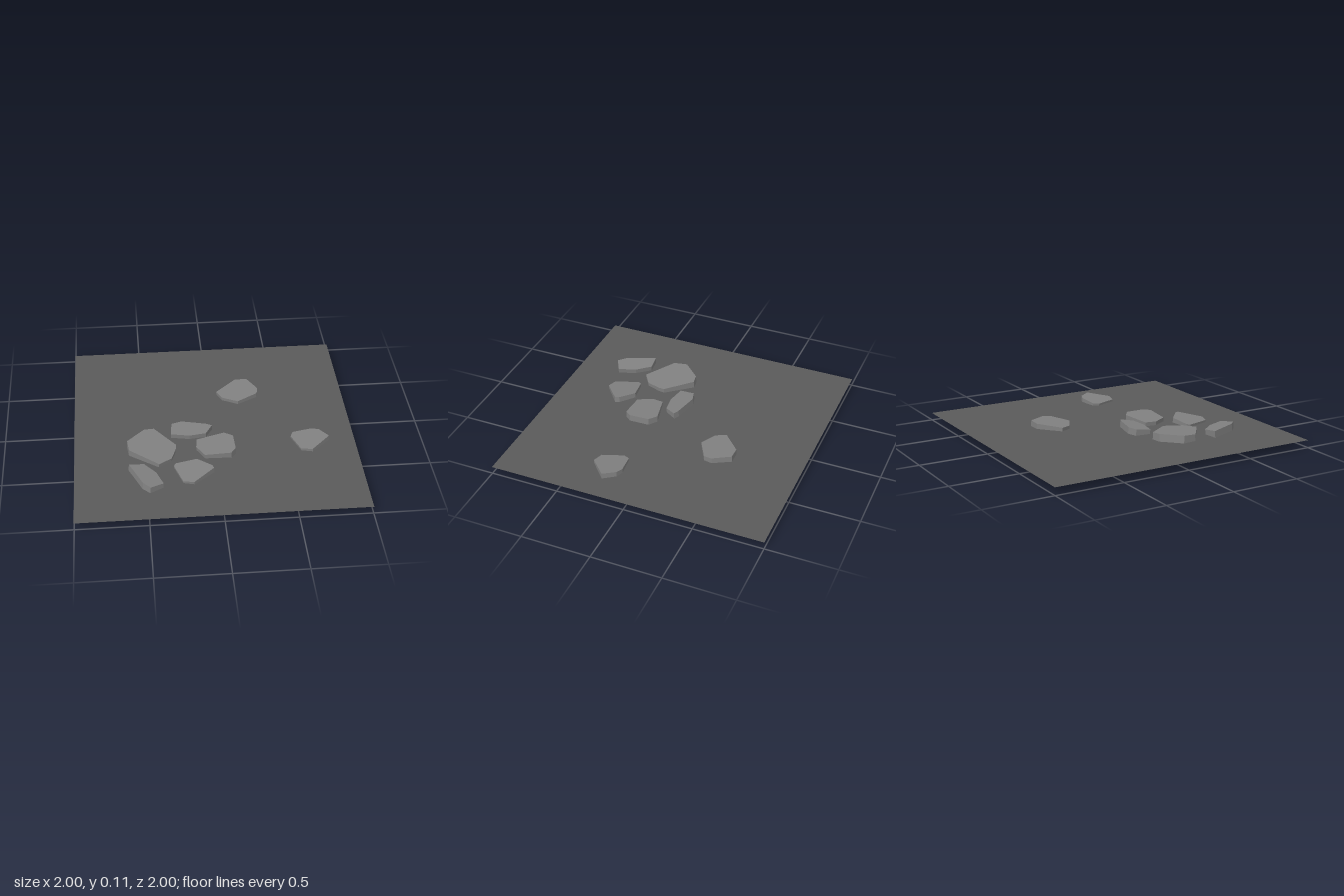
import * as THREE from 'three';

// Each stone: outline of its top as [x, z], middle height of the top, slope along x and z, thickness
const STONES = [
  { name: 'backStone', top: 0.09, slope: [0.04, -0.05], thick: 0.067,
    outline: [[0.06, -0.38], [0.21, -0.51], [0.3, -0.51], [0.37, -0.385], [0.36, -0.325], [0.21, -0.245], [0.095, -0.305]] },
  { name: 'outerLeftStone', top: 0.083, slope: [0.09, -0.03], thick: 0.07,
    outline: [[0.545, 0.2], [0.565, 0.155], [0.705, 0.14], [0.755, 0.16], [0.815, 0.245], [0.68, 0.37], [0.6, 0.35]] },
  { name: 'largeStone', top: 0.099, slope: [-0.055, -0.055], thick: 0.08,
    outline: [[-0.625, 0.21], [-0.5, 0.085], [-0.43, 0.075], [-0.28, 0.255], [-0.285, 0.3], [-0.32, 0.4], [-0.41, 0.46], [-0.615, 0.31]] },
  { name: 'narrowStone', top: 0.1, slope: [-0.1, 0.05], thick: 0.072,
    outline: [[-0.62, 0.47], [-0.515, 0.46], [-0.435, 0.555], [-0.39, 0.68], [-0.48, 0.73], [-0.53, 0.68]] },
  { name: 'frontStone', top: 0.085, slope: [0.09, -0.05], thick: 0.065,
    outline: [[-0.31, 0.475], [-0.295, 0.45], [-0.145, 0.43], [-0.045, 0.515], [-0.035, 0.545], [-0.18, 0.665], [-0.255, 0.645]] },
  { name: 'centreStone', top: 0.095, slope: [0.07, -0.015], thick: 0.068,
    outline: [[-0.14, 0.285], [-0.13, 0.2], [0.07, 0.155], [0.13, 0.2], [0.135, 0.345], [0.1, 0.39], [-0.085, 0.385]] },
  { name: 'flatStone', top: 0.098, slope: [0.01, -0.1], thick: 0.068,
    outline: [[-0.31, 0.13], [-0.3, 0.02], [-0.225, 0.0], [-0.05, 0.04], [-0.01, 0.06], [-0.06, 0.14], [-0.18, 0.155]] },
];

// Extrudes the outline, then tilts the slab to its slope
function makeStone({ name, top, slope: [a, b], thick, outline }, material) {
  const shape = new THREE.Shape(outline.map(([x, z]) => new THREE.Vector2(x, -z)));
  const geo = new THREE.ExtrudeGeometry(shape, { depth: thick, bevelEnabled: false });
  geo.rotateX(-Math.PI / 2);
  geo.computeBoundingBox();
  const mid = geo.boundingBox.getCenter(new THREE.Vector3());
  const pos = geo.attributes.position;
  for (let i = 0; i < pos.count; i++) {
    const x = pos.getX(i), z = pos.getZ(i), down = thick - pos.getY(i);
    const y = top + a * (x - mid.x) + b * (z - mid.z) - down;
    pos.setXYZ(i, x + a * down, y, z + b * down);
  }
  geo.computeVertexNormals();
  const mesh = new THREE.Mesh(geo, material);
  mesh.name = name;
  return mesh;
}

export function createModel() {
  const model = new THREE.Group();
  model.name = 'steppingStones';

  // Thin ground sheet cutting through the stones at mid height
  const sheet = new THREE.Mesh(
    new THREE.PlaneGeometry(2, 2).rotateX(-Math.PI / 2),
    new THREE.MeshStandardMaterial({ color: 0x5a5a5a, side: THREE.DoubleSide })
  );
  sheet.name = 'groundSheet';
  sheet.position.y = 0.057;
  model.add(sheet);

  // Tilted flat stones
  const stoneMaterial = new THREE.MeshStandardMaterial({ color: 0x808080, flatShading: true });
  for (const stone of STONES) model.add(makeStone(stone, stoneMaterial));

  return model;
}
